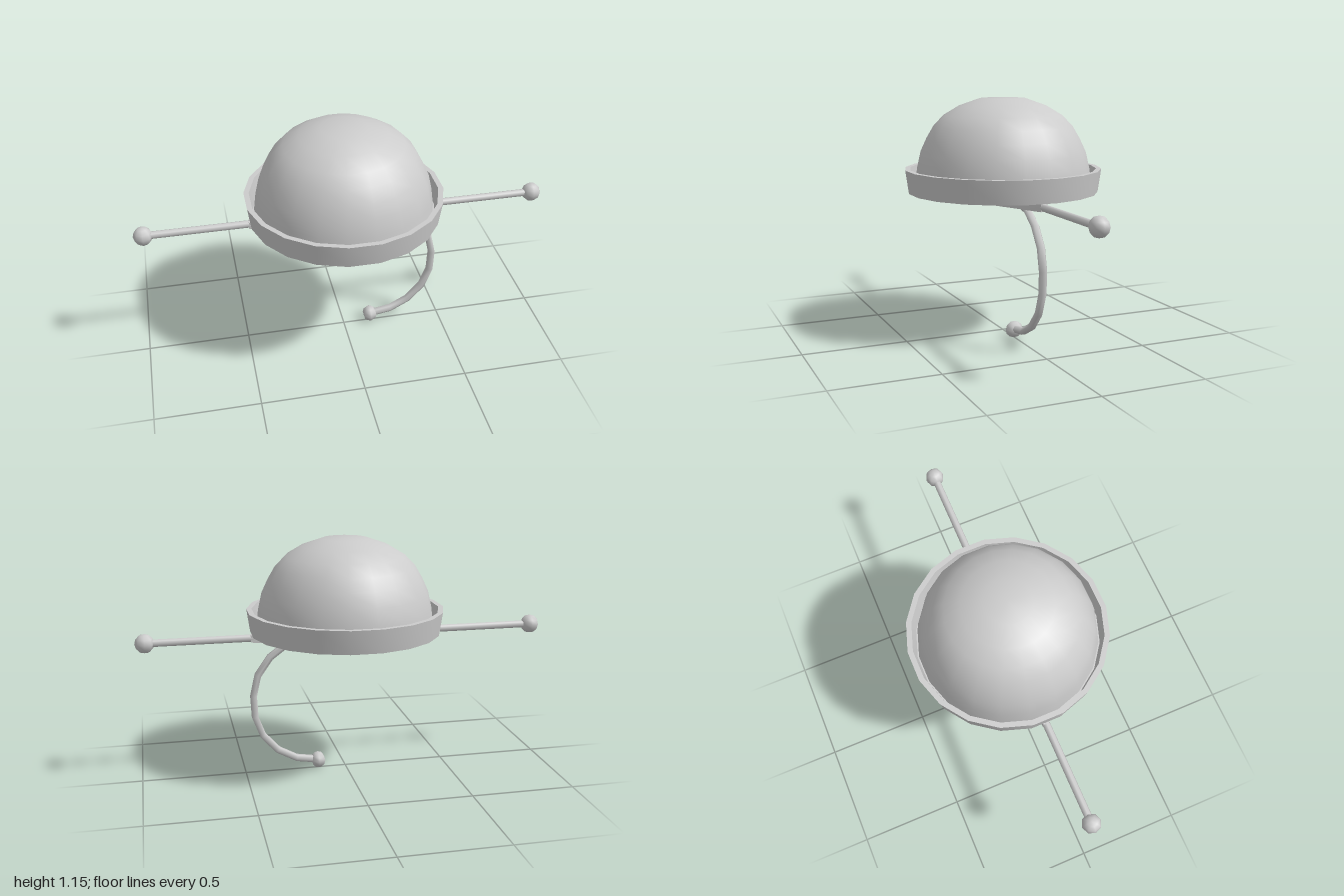
import * as THREE from 'three';
import { toCreasedNormals } from 'three/addons/utils/BufferGeometryUtils.js';

const SIDES = 20;
const grey = new THREE.MeshStandardMaterial({ color: 0xcccccc, side: THREE.DoubleSide });

function part(name, geometry, x = 0, y = 0, z = 0) {
  const mesh = new THREE.Mesh(geometry, grey);
  mesh.name = name;
  mesh.position.set(x, y, z);
  return mesh;
}

// Turned part with flats centred on the main axes and sharp corners kept
function turned(points) {
  const g = new THREE.LatheGeometry(points.map(([r, y]) => new THREE.Vector2(r, y)), SIDES);
  g.rotateY(Math.PI / SIDES);
  return toCreasedNormals(g, 0.7);
}

// Bent rod through points in the xy plane
function rod(points, radius, segments) {
  const path = new THREE.CatmullRomCurve3(points.map(([x, y]) => new THREE.Vector3(x, y, 0)));
  return new THREE.TubeGeometry(path, segments, radius, 6);
}

export function createModel() {
  const group = new THREE.Group();

  // Hollow domed cup: inner wall downwards, then outer wall upwards
  const outer = [[0.432, 0.7], [0.418, 0.81], [0.4, 0.89], [0.37, 0.955], [0.335, 1.015],
    [0.285, 1.067], [0.21, 1.112], [0.11, 1.147], [0, 1.148]];
  const inner = outer.map(([r, y]) => [r * 0.94, 0.7 + (y - 0.7) * 0.945]).reverse();
  group.add(part('cup', turned([...inner, ...outer])));

  // Flared rim standing a little away from the cup
  group.add(part('rim', turned([[0.425, 0.7], [0.459, 0.7], [0.475, 0.812],
    [0.45, 0.812], [0.436, 0.72], [0.425, 0.72]])));

  // Central block: sections along x as [x, half depth, bottom, top]
  const sections = [[-0.46, 0.017, 0.666, 0.7], [-0.22, 0.045, 0.655, 0.705], [-0.13, 0.07, 0.646, 0.715],
    [0, 0.082, 0.645, 0.775], [0.13, 0.07, 0.646, 0.715], [0.22, 0.045, 0.65, 0.705], [0.46, 0.017, 0.666, 0.7]];
  const block = new THREE.BoxGeometry(1, 1, 1, sections.length - 1, 1, 1);
  const p = block.attributes.position;
  for (let i = 0; i < p.count; i++) {
    const [x, depth, low, high] = sections[Math.round((p.getX(i) + 0.5) * (sections.length - 1))];
    const top = p.getY(i) > 0;
    p.setXYZ(i, x, top ? high : low, Math.sign(p.getZ(i)) * depth * (top ? 0.88 : 1));
  }
  group.add(part('centreBlock', toCreasedNormals(block, 0.4)));

  // Cross bar ends, knobs and the two arms curling up inside the cup
  for (const side of [1, -1]) {
    const name = side > 0 ? 'left' : 'right';
    const bar = new THREE.CylinderGeometry(0.018, 0.018, 0.55, 8);
    bar.rotateZ(Math.PI / 2);
    group.add(part(name + 'Bar', bar, side * 0.675, 0.684));
    group.add(part(name + 'Knob', new THREE.SphereGeometry(0.046, 8, 6), side * 0.954, 0.684));
    const arm = [[0.14, 0.68], [0.25, 0.71], [0.335, 0.79], [0.365, 0.89], [0.325, 0.975], [0.2, 1.06]];
    group.add(part(name + 'Arm', rod(arm.map(([x, y]) => [side * x, y]), 0.019, 8)));
  }

  // Curved hand guard with its end knob
  const guard = [[0.18, 0.67], [0.28, 0.65], [0.378, 0.575], [0.447, 0.455], [0.452, 0.36],
    [0.438, 0.24], [0.38, 0.15], [0.285, 0.072], [0.14, 0.042]];
  const guardRod = rod(guard, 0.018, 9);
  guardRod.scale(1, 1, 1.15);
  group.add(part('handGuard', guardRod));
  const knob = new THREE.SphereGeometry(0.04, 6, 6);
  knob.rotateY(Math.PI / 2);
  knob.scale(0.92, 1, 1.12);
  group.add(part('guardKnob', knob, 0.138, 0.04));

  return group;
}
